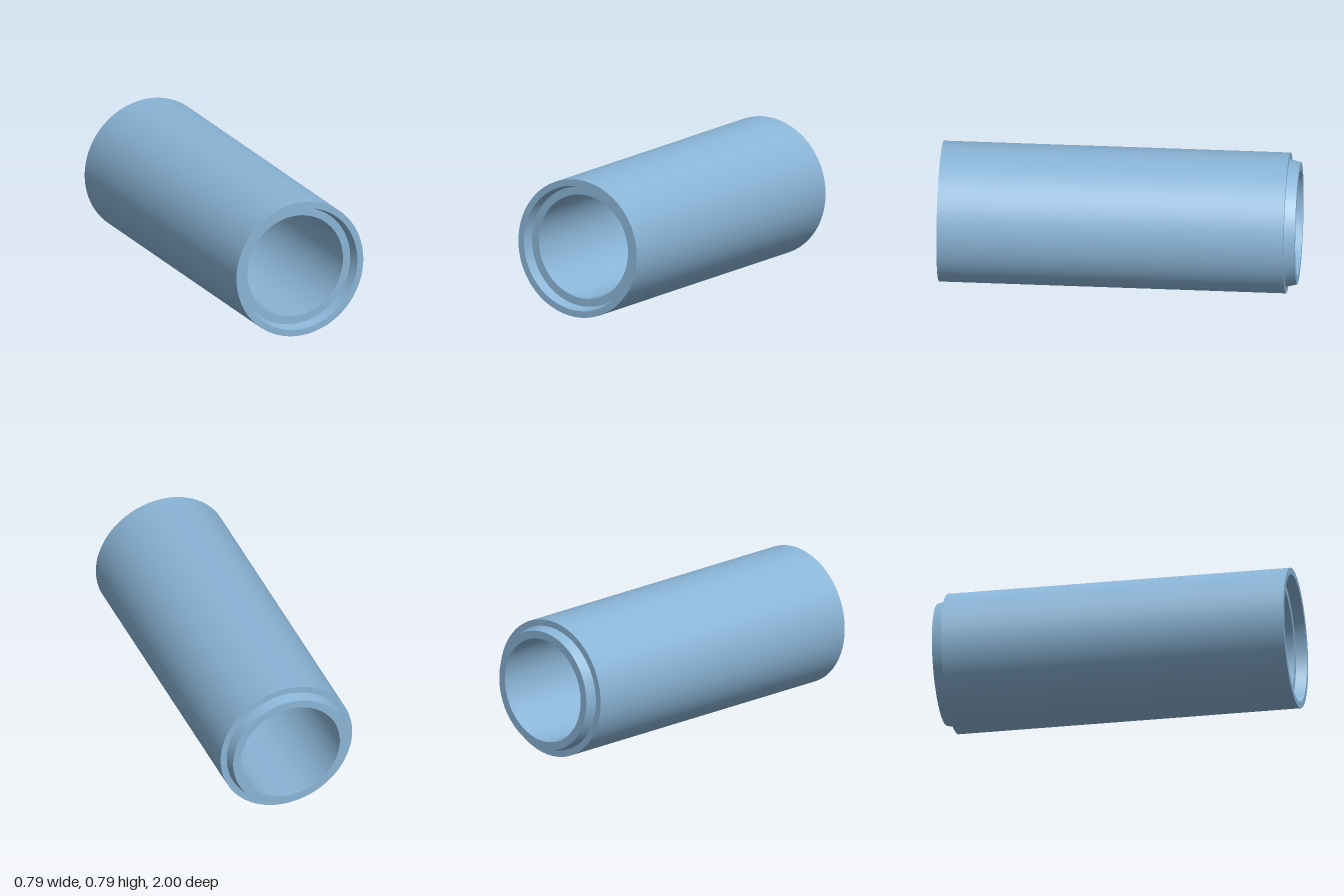
import * as THREE from 'three';
import { toCreasedNormals } from 'three/addons/utils/BufferGeometryUtils.js';

export function createModel() {
  const group = new THREE.Group();
  group.name = 'pipeSection';

  const outer = 0.393, bore = 0.296;      // wall radii
  const jointWide = 0.356, jointNarrow = 0.341, jointDepth = 0.06;

  // Closed wall section as [radius, position along the axis], back to front
  const section = [
    [bore, -1],
    [jointNarrow, -1],                    // tapered spigot at the back
    [jointWide, -1 + jointDepth],
    [outer, -1 + jointDepth],             // shoulder
    [outer, 1],
    [jointWide, 1],                       // matching tapered socket at the front
    [jointNarrow, 1 - jointDepth],
    [bore, 1 - jointDepth],
    [bore, -1],
  ].map(([r, z]) => new THREE.Vector2(r, z));

  const geometry = toCreasedNormals(new THREE.LatheGeometry(section, 128), 0.5);
  geometry.rotateX(Math.PI / 2);          // lay the axis along z

  const pipe = new THREE.Mesh(geometry, new THREE.MeshStandardMaterial({ color: 0x8ab4d6 }));
  pipe.name = 'pipe';
  pipe.position.y = outer;
  group.add(pipe);
  return group;
}
